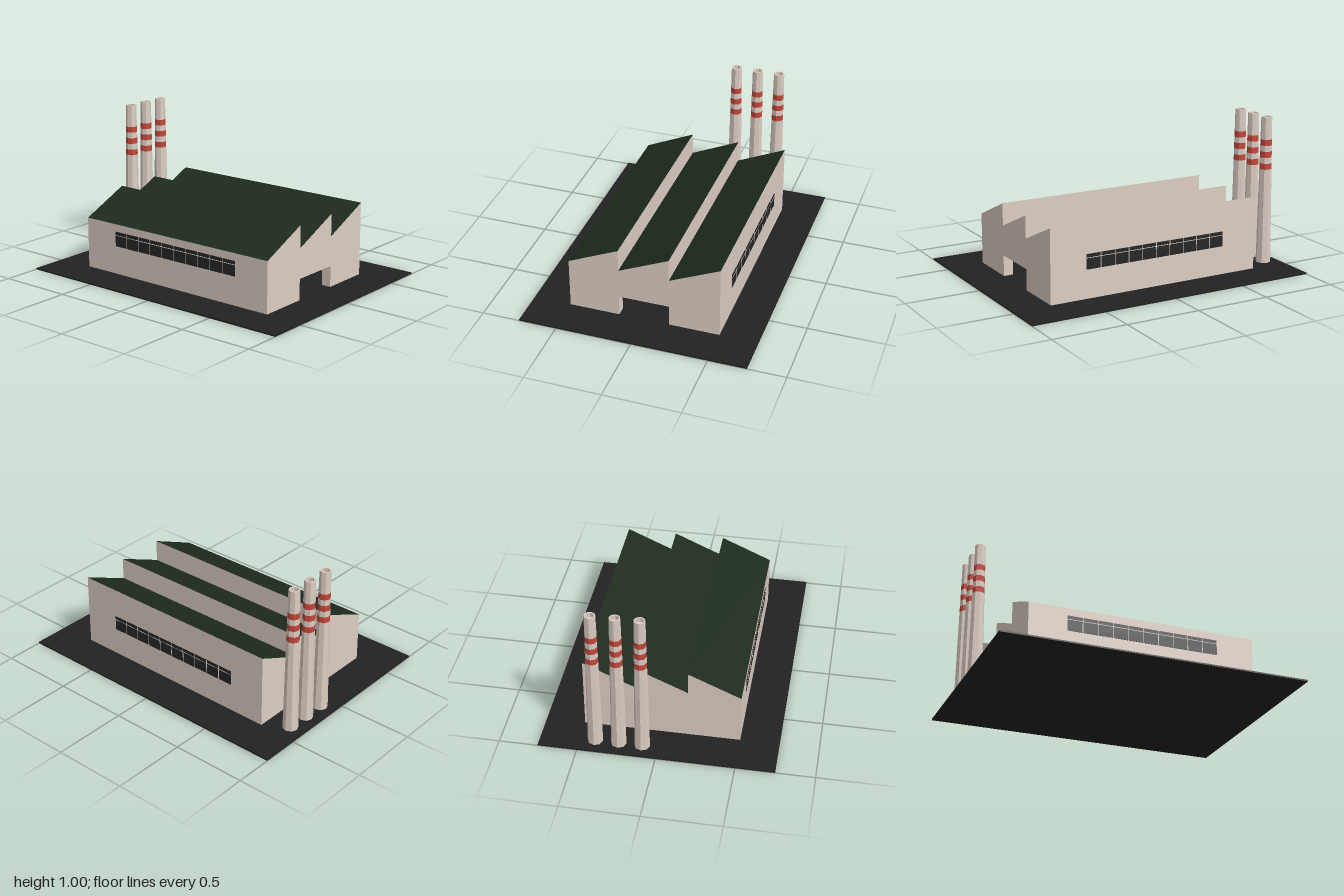
import * as THREE from 'three';

const material = (color) => new THREE.MeshStandardMaterial({ color, flatShading: true, side: THREE.DoubleSide });
const WALL = material(0xdccdc3);
const ROOF = material(0x1d2b1d);
const GROUND = material(0x222222);
const GLASS = material(0x262626);
const RED = material(0xc4473a);

const W = 0.5, D = 0.75, LOW = 0.35, HIGH = 0.5, TEETH = 3;
const DOOR_W = 1 / 6, DOOR_H = 0.15, DOOR_DEPTH = 0.065;

function add(parent, name, geometry, mat, x = 0, y = 0, z = 0) {
  const mesh = new THREE.Mesh(geometry, mat);
  mesh.name = name;
  mesh.position.set(x, y, z);
  parent.add(mesh);
  return mesh;
}

// Flat sheet sweeping the line a-b (in x, y) from z0 to z1
function sheet([ax, ay], [bx, by], z0 = -D, z1 = D) {
  const g = new THREE.BufferGeometry();
  g.setAttribute('position', new THREE.Float32BufferAttribute(
    [ax, ay, z1, bx, by, z1, bx, by, z0, ax, ay, z0], 3));
  g.setIndex([0, 1, 2, 0, 2, 3]);
  g.computeVertexNormals();
  return g;
}

// Saw-tooth outline from the foot of one side wall to the other
function sawtooth() {
  const points = [[-W, 0]];
  const step = (2 * W) / TEETH;
  for (let i = 0; i < TEETH; i++) {
    points.push([-W + i * step, LOW], [-W + (i + 1) * step, HIGH]);
  }
  points.push([W, 0]);
  return points;
}

function gable(outline) {
  return new THREE.ShapeGeometry(new THREE.Shape(outline.map(([x, y]) => new THREE.Vector2(x, y))));
}

function createHall() {
  const hall = new THREE.Group();
  hall.name = 'hall';
  const outline = sawtooth();

  // Side walls, roof slopes and risers follow the outline
  for (let i = 0; i < outline.length - 1; i++) {
    const a = outline[i], b = outline[i + 1];
    const sloped = Math.abs(a[0] - b[0]) > 0.01;
    const end = i === 0 || i === outline.length - 2;
    add(hall, sloped ? 'roofSlope' : end ? 'sideWall' : 'roofRiser', sheet(a, b), sloped ? ROOF : WALL);
  }

  // Gables; the front one has a doorway notch
  const door = [[-DOOR_W, 0], [-DOOR_W, DOOR_H], [DOOR_W, DOOR_H], [DOOR_W, 0]];
  add(hall, 'frontWall', gable([...outline, ...[...door].reverse()]), WALL, 0, 0, D);
  add(hall, 'backWall', gable(outline), WALL, 0, 0, -D).rotation.y = Math.PI;
  hall.getObjectByName('backWall').scale.x = -1;

  // Doorway reveal
  for (let i = 0; i < 3; i++) {
    add(hall, 'doorReveal', sheet(door[i + 1], door[i], D - DOOR_DEPTH, D), WALL);
  }
  return hall;
}

// Strip window of ten bays with thin glazing bars
function createWindow(side) {
  const win = new THREE.Group();
  win.name = side > 0 ? 'leftWindow' : 'rightWindow';
  add(win, 'glass', new THREE.BoxGeometry(0.004, 0.1, 1), GLASS);
  for (let i = 1; i < 10; i++) {
    add(win, 'verticalBar', new THREE.BoxGeometry(0.006, 0.1, 0.004), WALL, 0, 0, -0.5 + i * 0.1);
  }
  add(win, 'horizontalBar', new THREE.BoxGeometry(0.006, 0.004, 1), WALL, 0, 0.025, 0);
  win.position.set(side * W, 0.25, 0);
  return win;
}

// Tapered stack with painted bands and a sunken top
function createChimney(x) {
  const chimney = new THREE.Group();
  chimney.name = 'chimney';
  const radius = (y) => 0.05 - 0.014 * y;
  const levels = [0, 0.65, 0.69, 0.73, 0.77, 0.81, 0.85, 1];
  for (let i = 0; i < levels.length - 1; i++) {
    const y0 = levels[i], y1 = levels[i + 1];
    add(chimney, i % 2 ? 'redBand' : 'shaft',
      new THREE.CylinderGeometry(radius(y1), radius(y0), y1 - y0, 8, 1, true),
      i % 2 ? RED : WALL, 0, (y0 + y1) / 2, 0);
  }
  const rim = [[0, 0.97], [0.027, 0.97], [0.027, 1], [radius(1), 1]];
  add(chimney, 'rim', new THREE.LatheGeometry(rim.map(([r, y]) => new THREE.Vector2(r, y)).reverse(), 8), WALL);
  chimney.position.set(x, 0, -0.9);
  return chimney;
}

export function createModel() {
  const model = new THREE.Group();
  model.name = 'factory';
  add(model, 'ground', new THREE.BoxGeometry(1.5, 0.01, 2), GROUND, 0, 0.005, 0);
  model.add(createHall());
  for (const side of [1, -1]) model.add(createWindow(side));
  for (const x of [0.1, 0.25, 0.4]) model.add(createChimney(x));
  return model;
}
